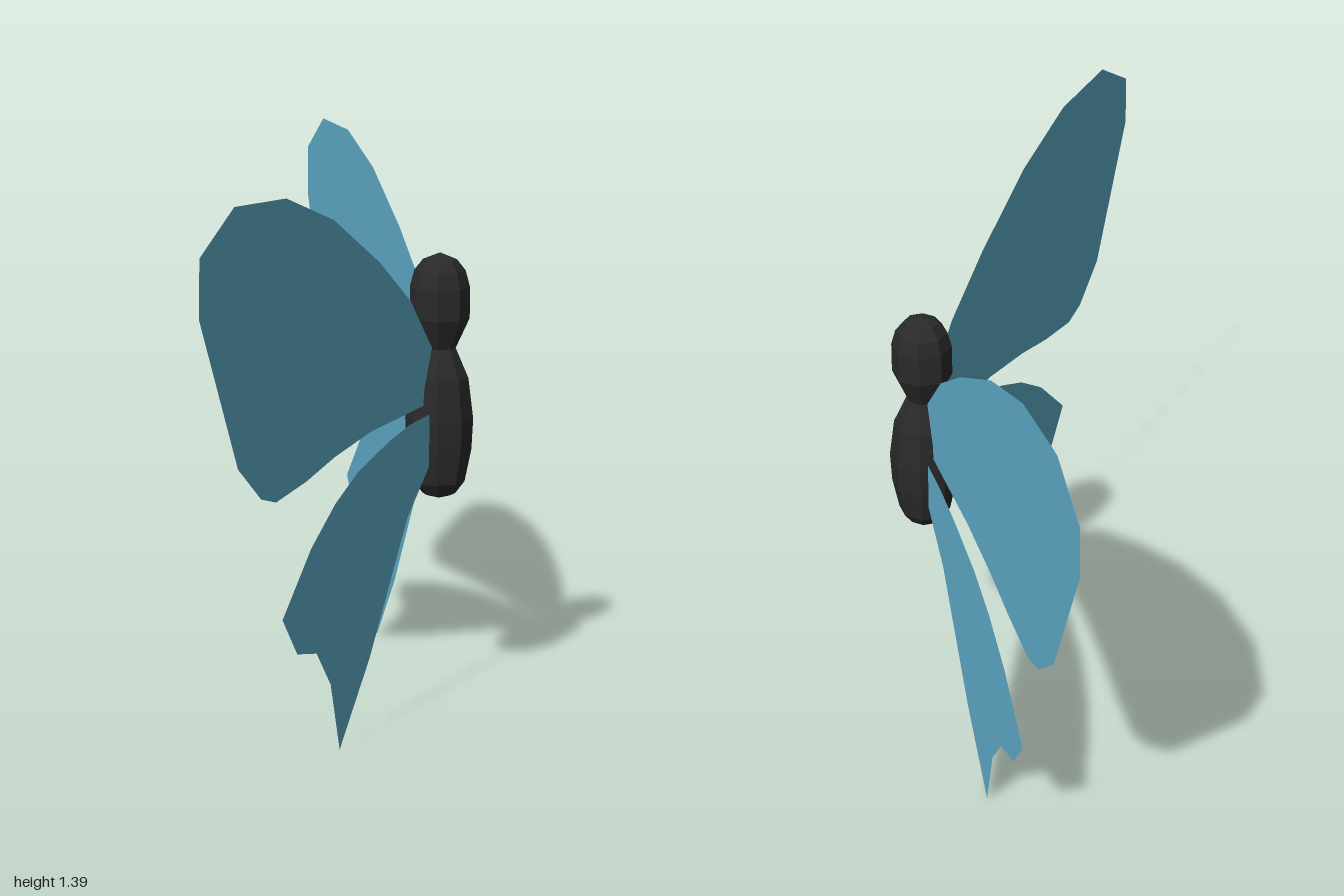
import * as THREE from 'three';

const wingBlue = new THREE.MeshStandardMaterial({ color: 0x60aecb, side: THREE.DoubleSide });
wingBlue.name = 'wing blue';
const bodyBlack = new THREE.MeshStandardMaterial({ color: 0x2a2a2a, flatShading: true });
bodyBlack.name = 'body black';

// Wing outlines as [distance from the body, height]
const UPPER = [
  [0.04, 0.92], [0.14, 1.056], [0.28, 1.175], [0.476, 1.307], [0.668, 1.384], [0.866, 1.392],
  [0.995, 1.297], [1, 1.163], [0.863, 0.794], [0.775, 0.703], [0.717, 0.682], [0.594, 0.703],
  [0.476, 0.735], [0.32, 0.763], [0.08, 0.778], [0.075, 0.82],
];
const LOWER = [
  [0.075, 0.755], [0.166, 0.748], [0.262, 0.726], [0.396, 0.682], [0.497, 0.625], [0.599, 0.54],
  [0.717, 0.398], [0.658, 0.297], [0.578, 0.275], [0.519, 0.179], [0.481, 0], [0.348, 0.195],
  [0.176, 0.511], [0.075, 0.62],
];

// Body profile as [radius, height], from the tail to the head
const PROFILE = [
  [0, 0.52], [0.042, 0.533], [0.066, 0.565], [0.083, 0.65], [0.087, 0.73], [0.074, 0.835],
  [0.041, 0.913], [0.076, 0.99], [0.076, 1.07], [0.065, 1.112], [0.043, 1.14], [0, 1.157],
];

// A flat vertical wing swept back from the body; side is +1 or -1 along z
function wing(name, outline, rootX, side) {
  const shape = new THREE.Shape(outline.map(([d, y]) => new THREE.Vector2(d, y)));
  const geo = new THREE.ShapeGeometry(shape);
  const p = geo.attributes.position;
  for (let i = 0; i < p.count; i++) {
    const d = p.getX(i);
    p.setXYZ(i, rootX - 0.457 * d, p.getY(i), side * d);
  }
  geo.computeVertexNormals();
  const mesh = new THREE.Mesh(geo, wingBlue);
  mesh.name = name;
  return mesh;
}

export function createModel() {
  const model = new THREE.Group();
  model.name = 'butterfly';

  // Faceted body with a pinched neck
  const points = PROFILE.map(([r, y]) => new THREE.Vector2(r, y));
  const body = new THREE.Mesh(new THREE.LatheGeometry(points, 8), bodyBlack);
  body.name = 'body';
  body.scale.z = 0.89;
  body.position.x = 0.185;
  model.add(body);

  // Mirrored wing pairs
  for (const side of [1, -1]) {
    const label = side > 0 ? 'front' : 'back';
    model.add(wing(label + 'UpperWing', UPPER, 0.187, side));
    model.add(wing(label + 'LowerWing', LOWER, 0.2, side));
  }
  return model;
}
